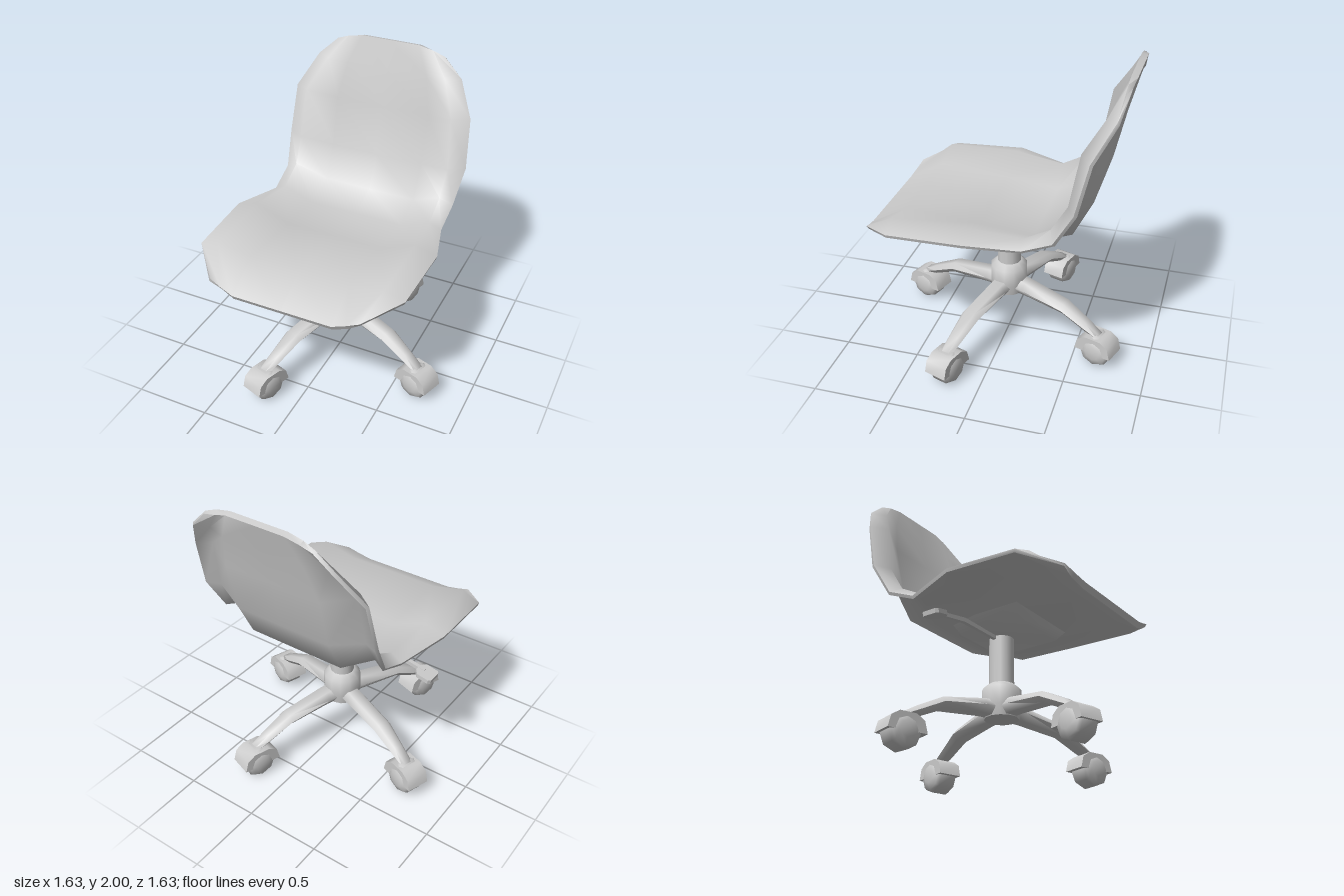
import * as THREE from 'three';
import { toCreasedNormals } from 'three/addons/utils/BufferGeometryUtils.js';

const material = new THREE.MeshStandardMaterial({ color: 0xcccccc });

function add(parent, name, geometry) {
  const mesh = new THREE.Mesh(geometry, material);
  mesh.name = name;
  parent.add(mesh);
  return mesh;
}

function indexed(points, index) {
  const g = new THREE.BufferGeometry();
  g.setAttribute('position', new THREE.Float32BufferAttribute(points.flat(), 3));
  g.setIndex(index);
  g.computeVertexNormals();
  return g;
}

// Closed rings joined along x, with flat caps
function loft(rings) {
  const n = rings[0].length, index = [];
  for (let j = 0; j < rings.length - 1; j++) {
    for (let i = 0; i < n; i++) {
      const a = j * n + i, b = j * n + (i + 1) % n;
      index.push(a, b + n, a + n, a, b, b + n);
    }
  }
  const last = (rings.length - 1) * n;
  for (let i = 1; i < n - 1; i++) index.push(0, i + 1, i, last, last + i, last + i + 1);
  return toCreasedNormals(indexed(rings.flat(), index), 1.2);
}

// One-piece dished seat and back: each row holds its edge, ridge and inner point
function shellGeometry() {
  const rows = [
    [[0.5, 0.95, 0.79], [0.42, 0.92, 0.805], [0.33, 0.893, 0.82]],
    [[0.69, 1.025, 0.58], [0.56, 1.07, 0.59], [0.33, 1.025, 0.58]],
    [[0.705, 1.04, 0.1], [0.56, 1.08, 0.1], [0.33, 0.985, 0.1]],
    [[0.61, 1.0, -0.24], [0.53, 1.04, -0.23], [0.33, 0.95, -0.25]],
    [[0.615, 1.08, -0.43], [0.53, 1.13, -0.4], [0.33, 1.03, -0.465]],
    [[0.645, 1.3, -0.555], [0.54, 1.3, -0.5], [0.33, 1.25, -0.575]],
    [[0.625, 1.62, -0.63], [0.52, 1.63, -0.56], [0.33, 1.58, -0.65]],
    [[0.51, 1.83, -0.745], [0.42, 1.83, -0.685], [0.28, 1.82, -0.715]],
    [[0.38, 1.95, -0.77], [0.3, 1.98, -0.765], [0.2, 2.0, -0.765]],
  ];
  const cols = 7, top = [], faces = [];
  for (const [edge, ridge, inner] of rows) {
    const right = [edge, ridge, inner];
    top.push(...right.map(([x, y, z]) => [-x, y, z]), [0, inner[1], inner[2]], ...right.reverse());
  }
  for (let r = 0; r < rows.length - 1; r++) {
    for (let c = 0; c < cols - 1; c++) {
      const a = r * cols + c;
      faces.push(a, a + 1, a + cols, a + 1, a + cols + 1, a + cols);
    }
  }
  // Underside: the top pushed back along its normals, thinner towards the sides
  const normal = indexed(top, faces).getAttribute('normal');
  const thickness = [0.022, 0.035, 0.04, 0.04, 0.04, 0.035, 0.022];
  const under = top.map(([x, y, z], i) => {
    const t = thickness[i % cols];
    return [x - t * normal.getX(i), Math.min(2, y - t * normal.getY(i)), z - t * normal.getZ(i)];
  });
  // Rim: a wall around the border
  const border = [], lastRow = (rows.length - 1) * cols;
  for (let c = 0; c < cols - 1; c++) border.push(c);
  for (let r = 0; r < rows.length - 1; r++) border.push(r * cols + cols - 1);
  for (let c = cols - 1; c > 0; c--) border.push(lastRow + c);
  for (let r = rows.length - 1; r > 0; r--) border.push(r * cols);
  const n = top.length, index = [...faces];
  for (let i = 0; i < faces.length; i += 3) index.push(faces[i] + n, faces[i + 2] + n, faces[i + 1] + n);
  border.forEach((a, i) => {
    const b = border[(i + 1) % border.length];
    index.push(a, a + n, b + n, a, b + n, b);
  });
  return toCreasedNormals(indexed([...top, ...under], index), 1.2);
}

// Leg with a six-sided section, running out along +x
function legGeometry() {
  const stations = [
    // distance, top, bottom, half width
    [0.02, 0.43, 0.325, 0.07],
    [0.15, 0.42, 0.325, 0.07],
    [0.45, 0.367, 0.295, 0.065],
    [0.62, 0.28, 0.215, 0.05],
    [0.72, 0.22, 0.18, 0.04],
  ];
  return loft(stations.map(([x, t, b, w]) => {
    const mid = b + (t - b) * 0.5;
    return [
      [x, t, -w * 0.55], [x, t, w * 0.55], [x, mid, w],
      [x, b, w * 0.55], [x, b, -w * 0.55], [x, mid, -w],
    ];
  }));
}

function polygon(points) {
  return new THREE.Shape(points.map(([x, y]) => new THREE.Vector2(x, y)));
}

// Hood over a caster wheel
function hoodGeometry() {
  const side = [[0.13, 0.1], [0.11, 0.175], [0.055, 0.21]];
  const shape = polygon([...side, ...side.map(([x, y]) => [-x, y]).reverse()]);
  const g = new THREE.ExtrudeGeometry(shape, { depth: 0.155, bevelEnabled: false });
  g.translate(0, 0, -0.0775);
  return toCreasedNormals(g, 0.9);
}

function lathe(points, segments) {
  const g = new THREE.LatheGeometry(points.map(([r, y]) => new THREE.Vector2(r, y)), segments);
  return toCreasedNormals(g, 1.0);
}

export function createModel() {
  const chair = new THREE.Group();
  chair.name = 'swivelChair';

  add(chair, 'seatShell', shellGeometry());

  // Tapered, softly shaded mount below the seat
  const mount = new THREE.BoxGeometry(0.56, 0.075, 0.51);
  const p = mount.getAttribute('position');
  for (let i = 0; i < p.count; i++) {
    if (p.getY(i) < 0) p.setXYZ(i, p.getX(i) * 0.75, p.getY(i), p.getZ(i) * 0.86);
  }
  add(chair, 'seatMount', toCreasedNormals(mount, 1.6)).position.set(0, 0.8975, 0.055);

  // Column and hub
  add(chair, 'column', new THREE.CylinderGeometry(0.08, 0.08, 0.4, 12)).position.y = 0.7;
  add(chair, 'hub', lathe([[0, 0.32], [0.11, 0.32], [0.125, 0.39], [0.125, 0.51], [0.085, 0.545], [0, 0.545]], 12));

  // Height lever with a flat paddle
  const lever = new THREE.Group();
  lever.name = 'heightLever';
  chair.add(lever);
  const rod = (x, y, w) => [
    [x, y + w, -w], [x, y + w, w], [x, y - w, w], [x, y - w, -w],
  ];
  add(lever, 'leverRod', loft([rod(-0.64, 0.802, 0.012), rod(-0.4, 0.848, 0.014), rod(-0.05, 0.848, 0.012)]));
  const half = [[-0.06, 0.045], [-0.045, 0.06], [0.035, 0.06], [0.065, 0.025]];
  const outline = polygon([...half, ...half.map(([x, y]) => [x, -y]).reverse()]);
  const paddle = new THREE.ExtrudeGeometry(outline, { depth: 0.028, bevelEnabled: false });
  paddle.translate(0, 0, -0.014).rotateX(-Math.PI / 2).rotateZ(0.2);
  add(lever, 'leverPaddle', paddle).position.set(-0.655, 0.795, -0.01);

  // Four legs with casters
  const leg = legGeometry(), hood = hoodGeometry();
  const wheel = lathe([[0, -0.088], [0.05, -0.086], [0.095, -0.07], [0.11, -0.05],
    [0.11, 0.05], [0.095, 0.07], [0.05, 0.086], [0, 0.088]], 8);
  wheel.rotateX(Math.PI / 2);
  for (let i = 0; i < 4; i++) {
    const arm = new THREE.Group();
    arm.name = 'legWithCaster';
    arm.rotation.y = -0.325 + i * Math.PI / 2;
    chair.add(arm);
    add(arm, 'leg', leg);
    add(arm, 'casterHood', hood).position.x = 0.703;
    add(arm, 'casterWheel', wheel).position.set(0.708, 0.11, 0);
  }
  return chair;
}
